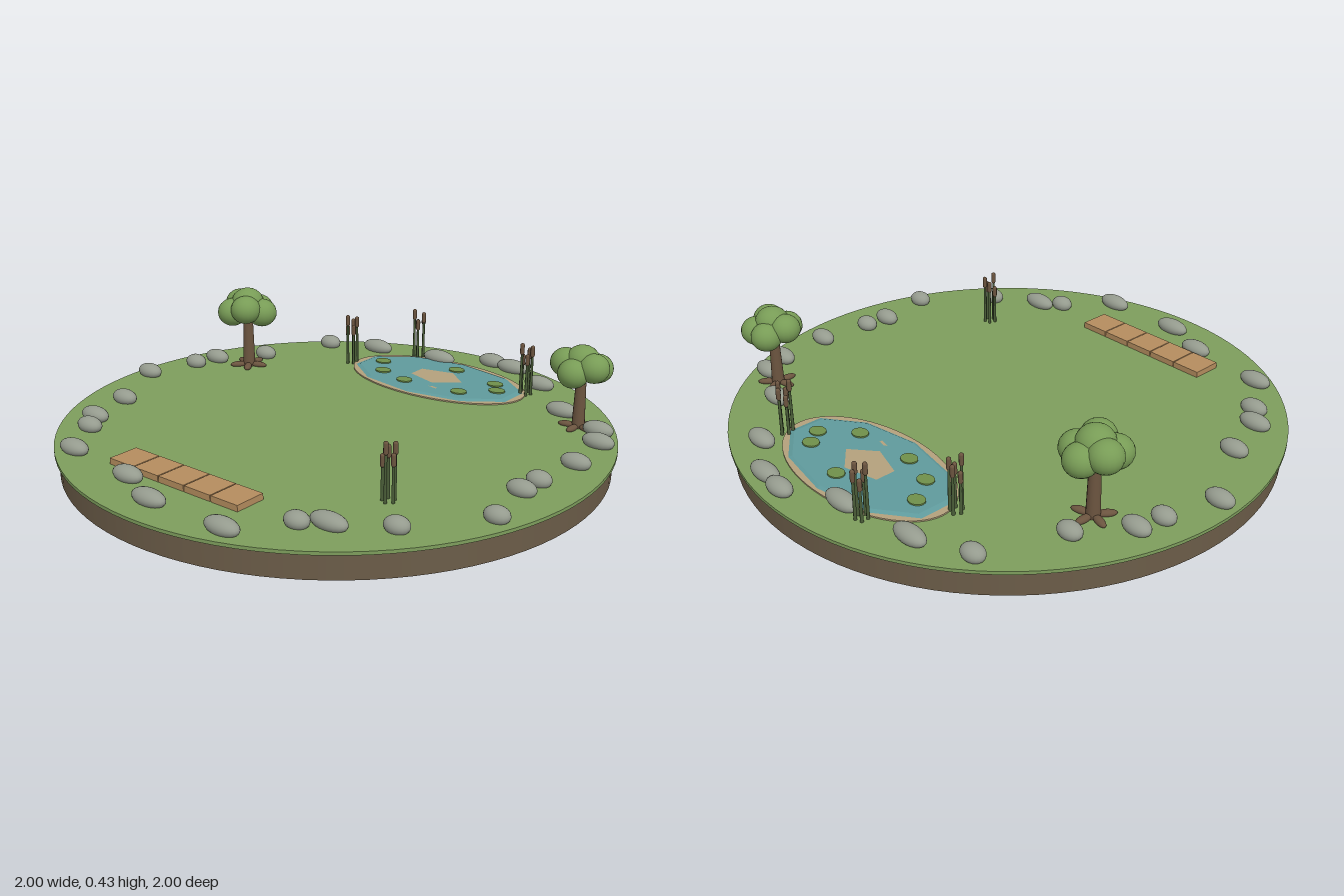
import * as THREE from 'three';

const mat = (name, color) => Object.assign(new THREE.MeshStandardMaterial({ color }), { name });

export function createModel() {
  const root = new THREE.Group();
  root.name = 'pondGarden';
  const grass = mat('grass green', 0x7d9d5c);
  const soil = mat('soil brown', 0x6b5c48);
  const sand = mat('sand', 0xb3a07c);
  const water = mat('water teal', 0x5f9a9c);
  const lily = mat('lily green', 0x6f8f4a);
  const stone = mat('stone grey', 0x959b8e);
  const wood = mat('plank wood', 0xb48c5e);
  const bark = mat('bark brown', 0x6b543f);
  const leaf = mat('leaf green', 0x789c56);
  const reed = mat('reed green', 0x4a5d38);

  const add = (parent, name, geo, material, x, y, z) => {
    const m = new THREE.Mesh(geo, material);
    m.name = name;
    m.position.set(x, y, z);
    parent.add(m);
    return m;
  };
  const group = (name, x, y, z) => {
    const g = new THREE.Group();
    g.name = name;
    g.position.set(x, y, z);
    root.add(g);
    return g;
  };
  const ball = new THREE.SphereGeometry(1, 20, 14);
  const TOP = 0.1;

  // Round island: soil disc under a slightly wider turf disc
  add(root, 'soilBase', new THREE.CylinderGeometry(0.985, 0.985, 0.09, 96), soil, 0, 0.045, 0);
  add(root, 'turf', new THREE.CylinderGeometry(1, 1, 0.012, 96), grass, 0, 0.094, 0);

  // Pond: sandy bank, ten-sided water, sandbars and lily pads
  const pond = group('pond', 0, TOP, -0.637);
  add(pond, 'sandBank', new THREE.CylinderGeometry(1, 1, 0.005, 64), sand, 0, 0.0025, 0).scale.set(0.388, 1, 0.216);
  const waterGeo = new THREE.CylinderGeometry(0.93, 1, 0.008, 10).toNonIndexed();
  waterGeo.computeVertexNormals();
  add(pond, 'water', waterGeo, water, 0, 0.007, 0).scale.set(0.385, 1, 0.207);
  const bars = [
    [[-0.1, 0.04], [-0.1, -0.035], [0.03, -0.075], [0.12, 0], [0.03, 0.072]],
    [[0.04, -0.115], [0.08, -0.123], [0.08, -0.112], [0.05, -0.107]],
  ];
  bars.forEach((pts) => {
    const geo = new THREE.ShapeGeometry(new THREE.Shape(pts.map(([x, y]) => new THREE.Vector2(x, y))));
    add(pond, 'sandbar', geo.rotateX(-Math.PI / 2), sand, 0, 0.0125, 0);
  });
  const padGeo = new THREE.CylinderGeometry(0.033, 0.033, 0.005, 20);
  [[-0.28, -0.655], [0.02, -0.75], [0.235, -0.7], [0.28, -0.64], [-0.21, -0.56], [-0.075, -0.52], [0.17, -0.54]]
    .forEach(([x, z]) => add(pond, 'lilyPad', padGeo, lily, x, 0.014, z + 0.637).scale.z = 0.85);

  // Boardwalk of five planks
  const plankGeo = new THREE.BoxGeometry(0.114, 0.022, 0.117);
  for (let i = 0; i < 5; i++) add(root, 'plank', plankGeo, wood, -0.295 + i * 0.118, TOP + 0.011, 0.703);

  // Ring of boulders: x, z, half width
  [
    [0.075, -0.933, 0.06], [0.182, -0.917, 0.07], [-0.123, -0.832, 0.073], [-0.412, -0.789, 0.07],
    [-0.61, -0.709, 0.046], [0.369, -0.81, 0.063], [0.583, -0.607, 0.063], [0.78, -0.516, 0.058],
    [0.834, -0.414, 0.06], [0.861, -0.206, 0.055], [0.84, -0.003, 0.045], [0.834, 0.094, 0.053],
    [0.877, 0.307, 0.045], [0.685, 0.553, 0.045], [0.513, 0.66, 0.07], [0.433, 0.714, 0.045],
    [0.289, 0.885, 0.068], [-0.027, 0.885, 0.07], [-0.214, 0.805, 0.063], [-0.529, 0.767, 0.063],
    [-0.652, 0.596, 0.053], [-0.717, 0.516, 0.062], [-0.775, 0.323, 0.055], [-0.93, 0.051, 0.055],
    [-0.872, -0.152, 0.045], [-0.85, -0.254, 0.055], [-0.727, -0.42, 0.047],
  ].forEach(([x, z, r]) => add(root, 'boulder', ball, stone, x, 0.117, z).scale.set(r, 0.03, 0.036));

  // Trees: flared trunk, spreading roots and a clustered crown
  const makeTree = (x, z, s, turn) => {
    const tree = group('tree', x, TOP, z);
    tree.scale.setScalar(s);
    tree.rotation.y = turn;
    add(tree, 'trunk', new THREE.CylinderGeometry(0.019, 0.025, 0.2, 16), bark, 0, 0.1, 0);
    for (let i = 0; i < 5; i++) {
      const a = (i / 5) * Math.PI * 2;
      const rootMesh = add(tree, 'root', ball, bark, Math.cos(a) * 0.042, 0.007, Math.sin(a) * 0.042);
      rootMesh.scale.set(0.036, 0.012, 0.015);
      rootMesh.rotation.y = -a;
      add(tree, 'crownLobe', ball, leaf, Math.cos(a) * 0.063, 0.232 + (i % 2) * 0.022, Math.sin(a) * 0.063)
        .scale.set(0.06, 0.056, 0.06);
    }
    add(tree, 'crownTop', ball, leaf, 0, 0.268, 0).scale.set(0.066, 0.06, 0.066);
  };
  makeTree(-0.706, -0.295, 1, 0.3);
  makeTree(0.693, -0.53, 0.94, 0.9);

  // Cattail clumps: thin stems with brown heads
  const headGeo = new THREE.CapsuleGeometry(0.0085, 0.03, 4, 10);
  [[-0.225, -0.83], [0.365, -0.71], [-0.397, -0.59], [0.543, 0.405]].forEach(([x, z], c) => {
    const clump = group('cattails', x, TOP, z);
    clump.rotation.y = c * 0.35;
    [0.18, 0.15, 0.19, 0.14, 0.165].forEach((h, i) => {
      const a = (i / 5) * Math.PI * 2;
      const px = Math.cos(a) * 0.021;
      const pz = Math.sin(a) * 0.021;
      add(clump, 'reedStem', new THREE.CylinderGeometry(0.0045, 0.006, h, 8), reed, px, h / 2, pz);
      add(clump, 'reedHead', headGeo, bark, px, h - 0.005, pz);
    });
  });
  return root;
}
